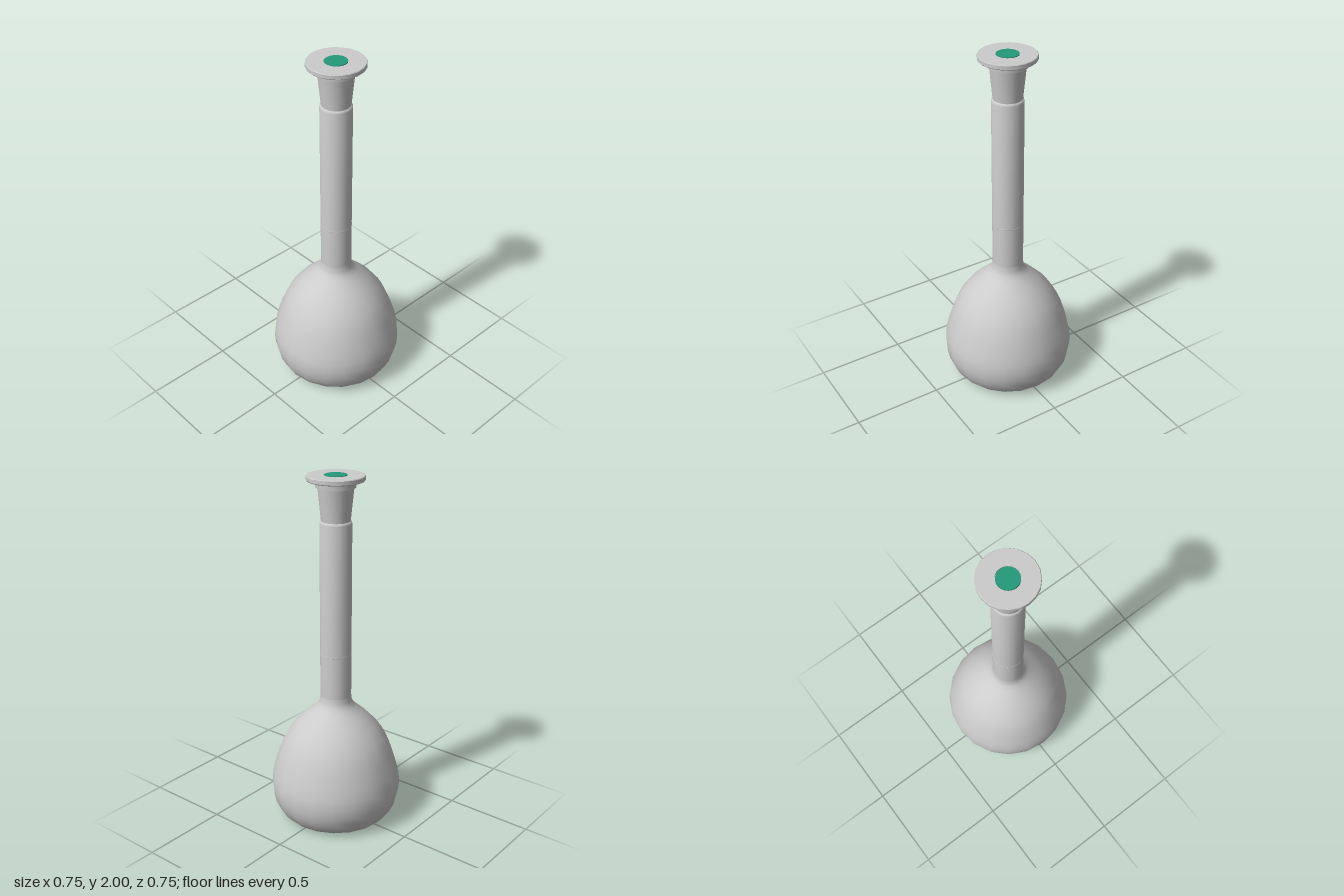
import * as THREE from 'three';
import { toCreasedNormals } from 'three/addons/utils/BufferGeometryUtils.js';

const SIDES = 20;

export function createModel() {
  const group = new THREE.Group();
  const glass = new THREE.MeshStandardMaterial({ name: 'pale grey', color: 0xcccccc });
  const green = new THREE.MeshStandardMaterial({ name: 'green', color: 0x259a7a });

  // Turned part from [radius, height] pairs, listed from bottom to top
  function turned(name, profile, material, crease) {
    const points = profile.map(([r, y]) => new THREE.Vector2(r, y));
    let geometry = new THREE.LatheGeometry(points, SIDES);
    if (crease) geometry = toCreasedNormals(geometry, crease);
    const mesh = new THREE.Mesh(geometry, material);
    mesh.name = name;
    group.add(mesh);
  }

  // Pear-shaped bulb with a flat base, flowing into the neck
  turned('bulb', [
    [0, 0], [0.24, 0], [0.272, 0.003], [0.305, 0.018], [0.333, 0.048], [0.358, 0.1],
    [0.369, 0.15], [0.373, 0.2], [0.368, 0.25], [0.355, 0.31], [0.327, 0.4],
    [0.302, 0.46], [0.275, 0.51], [0.235, 0.565], [0.19, 0.612], [0.15, 0.648],
    [0.12, 0.675], [0.101, 0.697], [0.091, 0.72], [0.0875, 0.75],
  ], glass);

  // Long straight neck with a small shoulder at its mouth
  turned('neck', [
    [0.0875, 0.75], [0.0875, 1.742], [0.085, 1.752], [0.077, 1.757],
  ], glass, 0.9);

  // Fine graduation ring around the neck
  turned('graduationRing', [
    [0.0875, 0.997], [0.0885, 0.998], [0.0885, 1.002], [0.0875, 1.003],
  ], glass);

  // Tapered stopper, its collar and the wide rim with a central well
  turned('stopper', [
    [0.079, 1.754], [0.097, 1.933], [0.108, 1.935], [0.11, 1.97],
    [0.153, 1.97], [0.157, 1.974], [0.157, 1.994], [0.154, 1.998],
    [0.063, 1.998], [0.063, 1.985], [0, 1.985],
  ], glass, 0.6);

  // Green inlay in the top of the stopper
  turned('stopperInlay', [[0.06, 1.985], [0.06, 2], [0, 2]], green, 0.6);

  return group;
}
